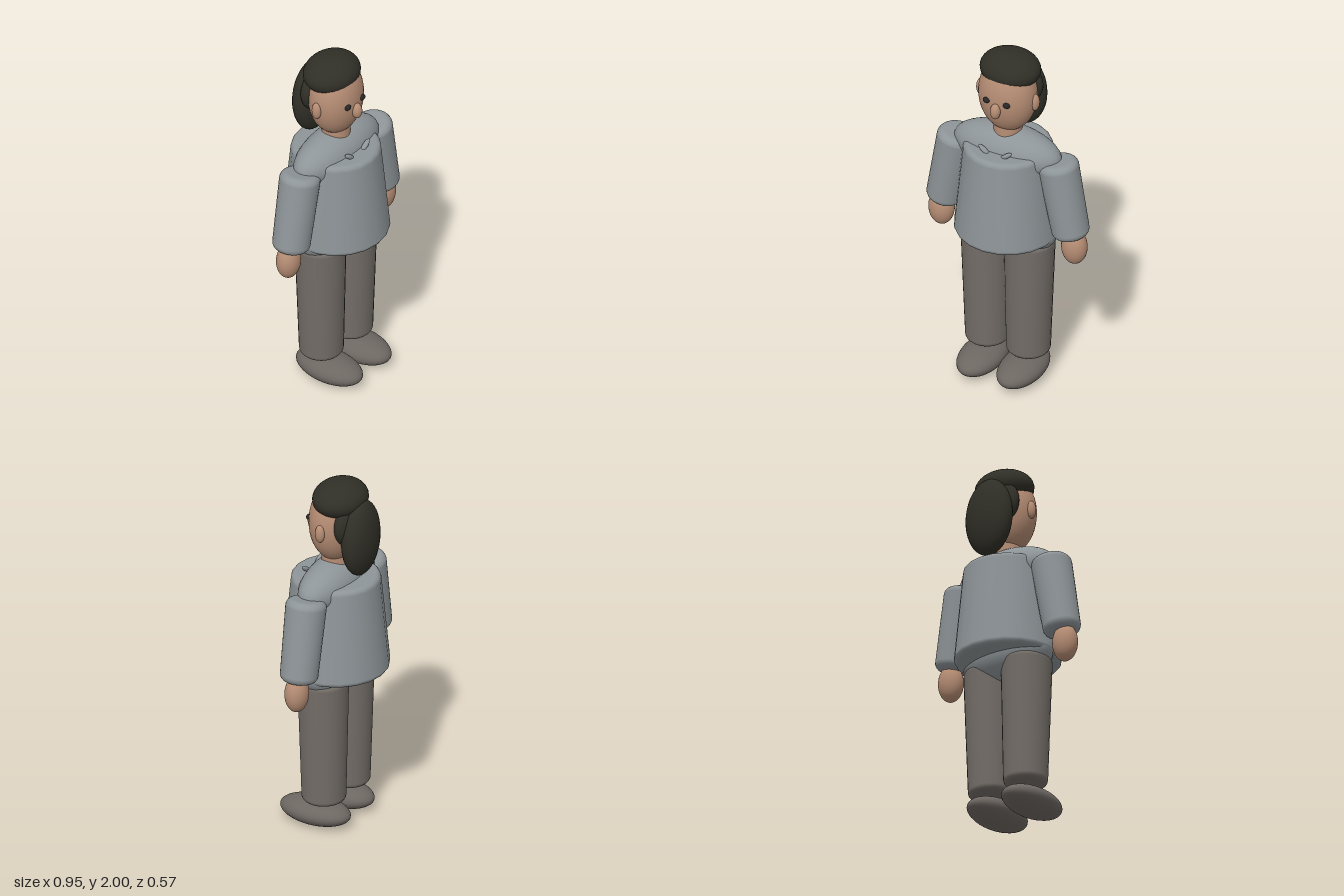
import * as THREE from 'three';

const mat = (name, color) => {
  const m = new THREE.MeshStandardMaterial({ color });
  m.name = name;
  return m;
};

export function createModel() {
  const group = new THREE.Group();
  const skin = mat('skin', 0xb68d74);
  const cloth = mat('grey cloth', 0x8e9598);
  const trousers = mat('trousers', 0x736d67);
  const shoeMat = mat('shoe', 0x6d6762);
  const hair = mat('hair', 0x302f27);
  const eyeMat = mat('eye', 0x262626);

  const add = (name, geometry, material, pos, rotZ = 0) => {
    const mesh = new THREE.Mesh(geometry, material);
    mesh.name = name;
    mesh.position.set(...pos);
    mesh.rotation.z = rotZ;
    group.add(mesh);
    return mesh;
  };

  // Smooth ellipsoid given by its three radii
  const ball = (name, material, pos, radii, rotZ = 0) =>
    add(name, new THREE.SphereGeometry(1, 32, 24).scale(...radii), material, pos, rotZ);

  // Tapered cylinder, centred, with rounded rims
  const roundedTaper = (rBottom, rTop, height, bevel, sides) => {
    const h = height / 2;
    const pts = [new THREE.Vector2(0, -h)];
    for (let i = 0; i <= 5; i++) {
      const a = (i / 5) * Math.PI / 2;
      pts.push(new THREE.Vector2(rBottom - bevel + bevel * Math.sin(a), -h + bevel - bevel * Math.cos(a)));
    }
    for (let i = 0; i <= 5; i++) {
      const a = (i / 5) * Math.PI / 2;
      pts.push(new THREE.Vector2(rTop - bevel + bevel * Math.cos(a), h - bevel + bevel * Math.sin(a)));
    }
    pts.push(new THREE.Vector2(0, h));
    return new THREE.LatheGeometry(pts, sides);
  };

  // Body
  ball('shoulders', cloth, [0, 1.405, 0], [0.315, 0.14, 0.14]);
  ball('hips', cloth, [0, 0.93, 0], [0.287, 0.16, 0.165]);
  add('shirt', roundedTaper(0.287, 0.24, 0.55, 0.03, 20), cloth, [0, 1.17, 0]);
  add('neck', new THREE.CylinderGeometry(0.075, 0.08, 0.2, 24), skin, [0, 1.53, 0]);

  // Head and face
  ball('head', skin, [0, 1.76, 0], [0.163, 0.225, 0.138]);
  ball('nose', skin, [0, 1.72, 0.143], [0.028, 0.046, 0.028]);

  // Hair
  ball('hairCap', hair, [0, 1.9, -0.028], [0.168, 0.1, 0.143]);
  ball('backHair', hair, [0, 1.78, -0.1], [0.155, 0.135, 0.065]);
  ball('ponytail', hair, [0, 1.695, -0.153], [0.148, 0.217, 0.083]);

  // Mirrored parts
  for (const [side, s] of [['left', 1], ['right', -1]]) {
    ball(side + 'Ear', skin, [s * 0.163, 1.745, 0], [0.023, 0.05, 0.027]);
    ball(side + 'Eye', eyeMat, [s * 0.06, 1.767, 0.13], [0.02, 0.016, 0.014]);
    ball(side + 'CollarCord', cloth, [s * 0.066, 1.455, 0.145], [0.04, 0.013, 0.015], s * 0.65);
    add(side + 'Sleeve', roundedTaper(0.102, 0.11, 0.46, 0.04, 28), cloth,
      [s * 0.338, 1.19, 0], s * 0.185);
    ball(side + 'Hand', skin, [s * 0.397, 0.9, 0], [0.072, 0.105, 0.063]);
    add(side + 'Leg', roundedTaper(0.119, 0.137, 0.73, 0.03, 28), trousers,
      [s * 0.126, 0.52, 0], s * -0.011);
    ball(side + 'Shoe', shoeMat, [s * 0.12, 0.074, 0.053], [0.118, 0.072, 0.207]);
  }
  return group;
}
